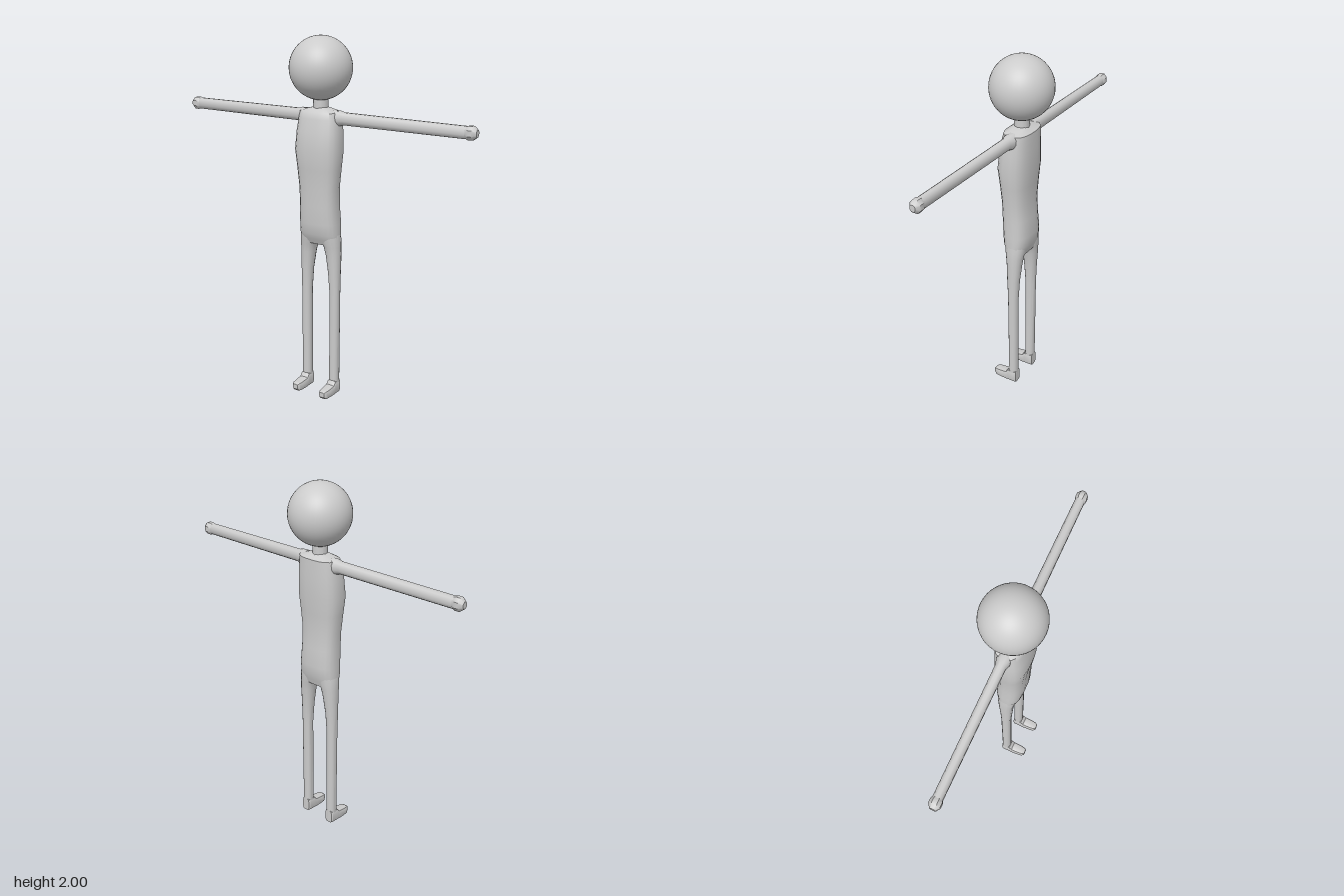
import * as THREE from 'three';
import { toCreasedNormals } from 'three/addons/utils/BufferGeometryUtils.js';

const material = new THREE.MeshStandardMaterial({ color: 0xcccccc });

// Closed skin over rings [y, centreX, centreZ, radiusX, radiusZ] along y;
// power 2 gives ellipses, higher powers give boxier sections.
function loft(rings, sides, power, crease = 0.7) {
  const pos = [], index = [];
  const shape = (v) => Math.sign(v) * Math.abs(v) ** (2 / power);
  for (const [y, cx, cz, rx, rz] of rings) {
    for (let i = 0; i < sides; i++) {
      const a = ((i + 0.5) / sides) * Math.PI * 2;
      pos.push(cx + rx * shape(Math.cos(a)), y, cz + rz * shape(Math.sin(a)));
    }
  }
  const last = rings.length - 1;
  for (const r of [rings[0], rings[last]]) pos.push(r[1], r[0], r[2]);
  const bottom = rings.length * sides;
  for (let i = 0; i < sides; i++) {
    const j = (i + 1) % sides;
    for (let k = 0; k < last; k++) {
      const a = k * sides + i, b = k * sides + j;
      index.push(a, a + sides, b, b, a + sides, b + sides);
    }
    index.push(bottom, i, j, bottom + 1, last * sides + j, last * sides + i);
  }
  const g = new THREE.BufferGeometry();
  g.setAttribute('position', new THREE.Float32BufferAttribute(pos, 3));
  g.setIndex(index);
  return toCreasedNormals(g, crease);
}

export function createModel() {
  const model = new THREE.Group();
  model.name = 'figure';
  const add = (name, geometry) => {
    const mesh = new THREE.Mesh(geometry, material);
    mesh.name = name;
    model.add(mesh);
    return mesh;
  };

  // Head and neck
  add('head', new THREE.SphereGeometry(0.168, 40, 28)).position.y = 1.832;
  add('neck', new THREE.CylinderGeometry(0.04, 0.042, 0.12, 12)).position.y = 1.64;

  // Torso: rounded-box sections from crotch to shoulders
  add('torso', loft([
    [0.88, 0, -0.003, 0.112, 0.046],
    [0.91, 0, 0.0, 0.118, 0.058],
    [0.94, 0, 0.002, 0.118, 0.07],
    [1.0, 0, 0.003, 0.116, 0.077],
    [1.1, 0, 0.009, 0.112, 0.075],
    [1.2, 0, 0.013, 0.114, 0.073],
    [1.3, 0, 0.014, 0.124, 0.08],
    [1.4, 0, 0.015, 0.134, 0.09],
    [1.5, 0, 0.009, 0.129, 0.085],
    [1.57, 0, 0.002, 0.122, 0.077],
    [1.605, 0, -0.002, 0.117, 0.072],
    [1.62, 0, 0, 0.07, 0.045],
    [1.628, 0, 0, 0.04, 0.035],
  ], 20, 2.7, 0.9));

  for (const s of [1, -1]) {
    const side = s > 0 ? 'left' : 'right';

    // Leg: thigh flaring up into the hip, straight shin
    add(side + 'Leg', loft([
      [0.02, s * 0.092, -0.001, 0.028, 0.026],
      [0.6, s * 0.0935, -0.002, 0.0285, 0.029],
      [0.72, s * 0.09, -0.002, 0.033, 0.035],
      [0.82, s * 0.083, -0.004, 0.041, 0.042],
      [0.87, s * 0.076, -0.003, 0.047, 0.048],
      [0.9, s * 0.067, -0.002, 0.055, 0.054],
      [0.94, s * 0.06, 0, 0.058, 0.058],
    ], 14, 2.3));

    // Foot: boxy sections from heel to toe
    const foot = loft([
      [-0.026, s * 0.092, -0.04, 0.024, 0.04],
      [-0.018, s * 0.092, -0.04, 0.029, 0.04],
      [0.024, s * 0.092, -0.04, 0.03, 0.04],
      [0.04, s * 0.092, -0.0295, 0.03, 0.0295],
      [0.09, s * 0.092, -0.026, 0.028, 0.026],
      [0.11, s * 0.092, -0.026, 0.025, 0.025],
      [0.123, s * 0.092, -0.029, 0.017, 0.014],
    ], 12, 4.5, 0.5);
    add(side + 'Foot', foot.rotateX(Math.PI / 2));

    // Arm: flared shoulder root, then a straight tube
    const h = -s * 1.577;
    const arm = loft([
      [0.09, h, 0, 0.04, 0.04],
      [0.125, h, 0, 0.04, 0.036],
      [0.15, h, 0, 0.034, 0.028],
      [0.86, h, 0, 0.032, 0.026],
    ], 12, 2.2);
    add(side + 'Arm', arm.rotateZ(-s * Math.PI / 2));

    // Hand: small faceted knob
    const hand = loft([
      [0.845, h, 0, 0.03, 0.025],
      [0.862, h, 0, 0.037, 0.032],
      [0.887, h, 0, 0.036, 0.032],
      [0.907, h, 0, 0.019, 0.017],
    ], 8, 2.1);
    add(side + 'Hand', hand.rotateZ(-s * Math.PI / 2));
  }
  return model;
}
